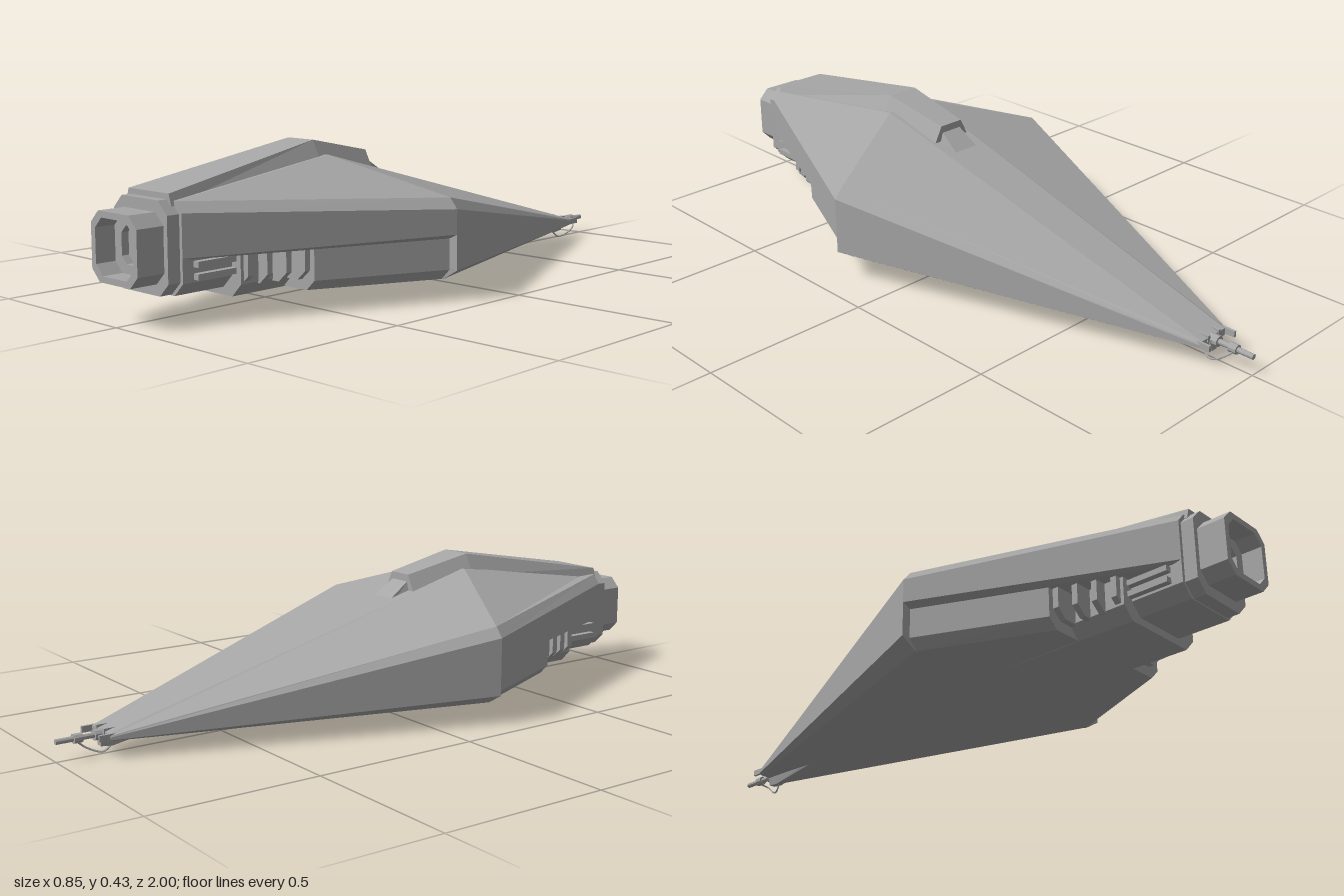
import * as THREE from 'three';

const hullGrey = new THREE.MeshStandardMaterial({ color: 0xa6a6a6, flatShading: true });
hullGrey.name = 'hullGrey';

// Solid through mirrored half sections ([x, y, z] from top to bottom), front to back
function loft(sections) {
  const rings = sections.map(s => [...s, ...s.slice().reverse().map(([x, y, z]) => [-x, y, z])]);
  const pos = [];
  const tri = (...pts) => pts.forEach(p => pos.push(...p));
  const centre = ring => [0, 1, 2].map(k => ring.reduce((t, p) => t + p[k], 0) / ring.length);
  const n = rings[0].length;
  const first = rings[0], last = rings[rings.length - 1];
  for (let i = 0; i < n; i++) {
    const j = (i + 1) % n;
    for (let r = 0; r + 1 < rings.length; r++) {
      const a = rings[r], b = rings[r + 1];
      tri(a[i], a[j], b[i]);
      tri(a[j], b[j], b[i]);
    }
    tri(centre(first), first[j], first[i]);
    tri(centre(last), last[i], last[j]);
  }
  const g = new THREE.BufferGeometry();
  g.setAttribute('position', new THREE.Float32BufferAttribute(pos, 3));
  g.computeVertexNormals();
  return g;
}

const at = (z, pts) => pts.map(([x, y]) => [x, y, z]);

// Chamfered rectangle outline
function octagon(w, y0, y1, c, Type = THREE.Shape) {
  const pts = [[w - c, y0], [w, y0 + c], [w, y1 - c], [w - c, y1],
    [c - w, y1], [-w, y1 - c], [-w, y0 + c], [c - w, y0]];
  return new Type(pts.map(p => new THREE.Vector2(...p)));
}

function prism(shape, z0, z1) {
  return new THREE.ExtrudeGeometry(shape, { depth: z1 - z0, bevelEnabled: false }).translate(0, 0, z0);
}

export function createModel() {
  const model = new THREE.Group();
  const add = (name, geometry, x = 0, y = 0, z = 0) => {
    const mesh = new THREE.Mesh(geometry, hullGrey);
    mesh.name = name;
    mesh.position.set(x, y, z);
    model.add(mesh);
    return mesh;
  };
  const box = (name, w, h, d, x, y, z) => add(name, new THREE.BoxGeometry(w, h, d), x, y, z);

  // Long tapering rear hull
  const ridge = [0.08, 0.39, 0.33], shoulder = [0.40, 0.285, 0.18], edge = [0.425, 0.255, 0.18];
  add('rearHull', loft([
    [ridge, shoulder, edge, [0.425, 0.085, 0.18], [0.375, 0.055, 0.18]],
    at(-0.87, [[0.05, 0.068], [0.058, 0.064], [0.06, 0.06], [0.06, 0.052], [0.05, 0.047]]),
  ]));

  // Upper front hull narrowing to the nozzle
  add('frontHull', loft([
    at(0.88, [[0.06, 0.32], [0.095, 0.318], [0.12, 0.29], [0.12, 0.175], [0.11, 0.17]]),
    [ridge, shoulder, edge, [0.425, 0.185, 0.18], [0.40, 0.172, 0.18]],
  ]));

  // Lower front hull behind the vents
  add('lowerHull', loft([
    at(0.54, [[0.24, 0.18], [0.24, 0.085], [0.21, 0.056]]),
    at(0.17, [[0.405, 0.185], [0.405, 0.085], [0.375, 0.055]]),
  ]));

  // Keel and engine core
  add('keel', loft([
    at(0.72, [[0.155, 0.19], [0.155, 0.09], [0.12, 0.054]]),
    at(0.30, [[0.155, 0.19], [0.155, 0.09], [0.12, 0.054]]),
  ]));
  add('engineCore', prism(octagon(0.12, 0.075, 0.32, 0.035), 0.6, 0.88));

  // Raised spine with a short ramp at its back end
  add('spine', loft([
    at(0.89, [[0.083, 0.337], [0.093, 0.305]]),
    at(0.36, [[0.05, 0.432], [0.082, 0.37]]),
    at(0.14, [[0.04, 0.387], [0.075, 0.32]]),
  ]));
  add('spineRamp', loft([
    at(0.15, [[0.034, 0.372], [0.05, 0.32]]),
    at(0.07, [[0.042, 0.318], [0.045, 0.30]]),
  ]));

  // Stepped collar and hollow nozzle
  add('collar', prism(octagon(0.11, 0.078, 0.322, 0.035), 0.87, 0.918));
  const rim = octagon(0.095, 0.108, 0.292, 0.032);
  rim.holes.push(octagon(0.078, 0.125, 0.275, 0.028, THREE.Path));
  add('nozzle', prism(rim, 0.91, 1));
  const innerRim = octagon(0.08, 0.123, 0.277, 0.028);
  innerRim.holes.push(octagon(0.05, 0.15, 0.25, 0.02, THREE.Path));
  add('nozzleInnerRing', prism(innerRim, 0.91, 0.94));

  // Vent fins and side pipes
  for (let i = 0; i < 4; i++) {
    const z = 0.71 - i * 0.05, x = 0.172 + i * 0.018;
    const profile = [[x, 0.178], [x, 0.112], [x - 0.03, 0.085]];
    add('ventFin', loft([at(z, profile), at(z - 0.018, profile)]));
  }
  for (const side of [-1, 1]) {
    for (const y of [0.125, 0.157]) box('sidePipe', 0.022, 0.016, 0.14, side * 0.128, y, 0.775);
    // Small tail brackets
    box('tailBracket', 0.008, 0.018, 0.045, side * 0.055, 0.06, -0.878);
    box('tailClamp', 0.008, 0.02, 0.045, side * 0.023, 0.066, -0.85);
  }

  // Tail probe
  const rod = (name, r, z0, z1) =>
    add(name, new THREE.CylinderGeometry(r, r, z1 - z0, 10).rotateX(Math.PI / 2), 0, 0.056, (z0 + z1) / 2);
  rod('probe', 0.008, -1, -0.85);
  rod('probeCollar', 0.014, -0.95, -0.925);
  rod('probeBase', 0.016, -0.89, -0.86);
  add('tailPod', loft([
    at(-0.67, [[0.012, 0.06], [0.008, 0.05]]),
    at(-0.84, [[0.02, 0.06], [0.010, 0.02]]),
    at(-0.875, [[0.02, 0.06], [0.010, 0.024]]),
  ]));

  // Loose cable hanging under the probe
  const cable = new THREE.CatmullRomCurve3([[0, 0.025, -0.835], [0.008, 0.003, -0.86],
    [0.024, 0.016, -0.90], [0.026, 0.036, -0.925], [0.006, 0.047, -0.94]]
    .map(p => new THREE.Vector3(...p)));
  add('cable', new THREE.TubeGeometry(cable, 20, 0.0028, 6));

  return model;
}
